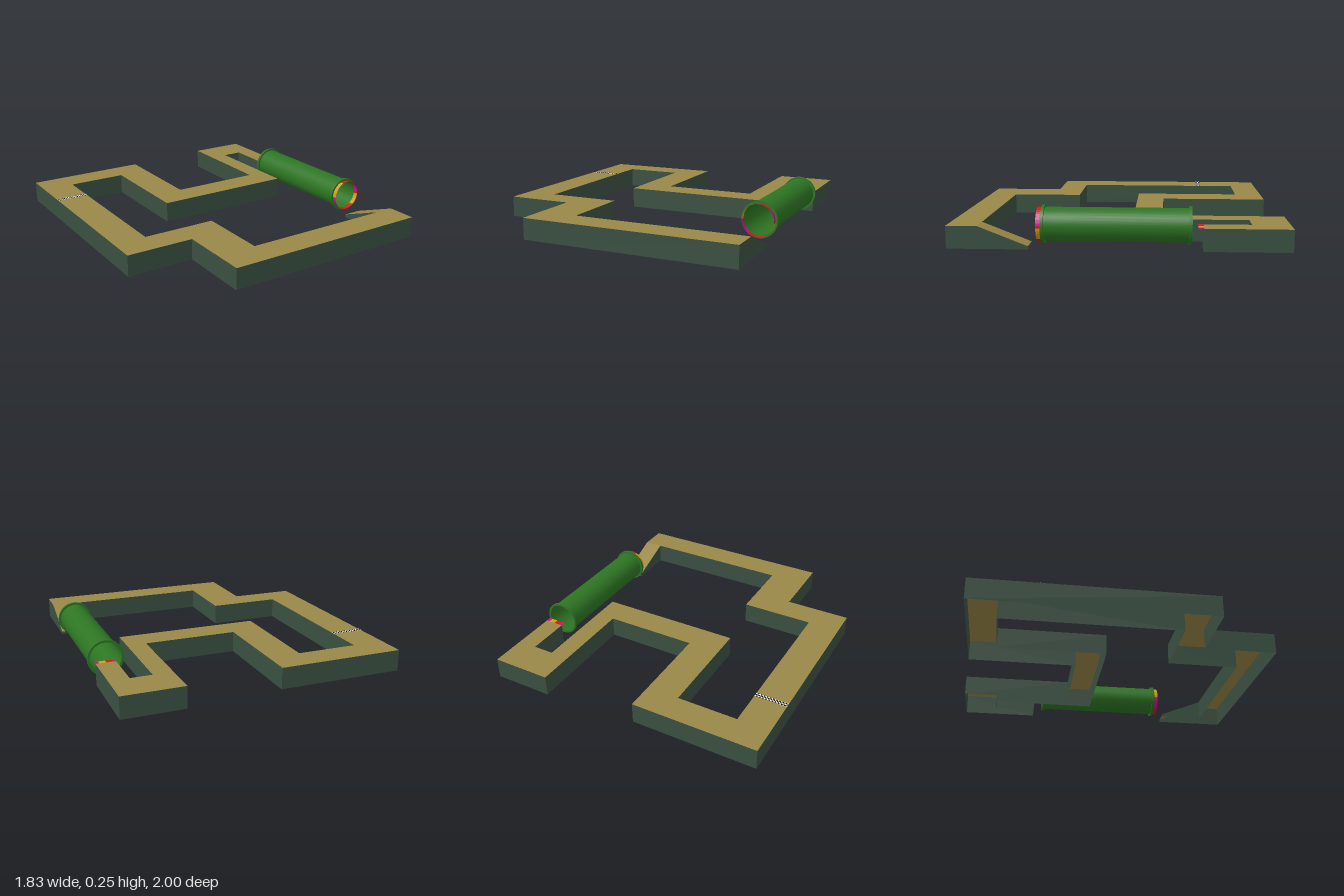
import * as THREE from 'three';

const mat = (name, color, side = THREE.DoubleSide) => {
  const m = new THREE.MeshStandardMaterial({ color, side });
  m.name = name;
  return m;
};

// Geometry from a list of four-cornered faces, flat shaded
function quads(list) {
  const pos = [];
  for (const [a, b, c, d] of list) pos.push(...a, ...b, ...c, ...a, ...c, ...d);
  const g = new THREE.BufferGeometry();
  g.setAttribute('position', new THREE.Float32BufferAttribute(pos, 3));
  g.computeVertexNormals();
  return g;
}

export function createModel() {
  const model = new THREE.Group();
  model.name = 'raceTrack';
  const tan = mat('roadTan', 0x9a8848);
  const wall = mat('wallGreen', 0x3a5042);
  const green = mat('tunnelGreen', 0x2d7523);
  const red = mat('red', 0xd81414);
  const orange = mat('orange', 0xd89a10);
  const magenta = mat('magenta', 0xd0108c);
  const white = mat('white', 0xe8e8e8);
  const black = mat('black', 0x181818);

  const add = (name, geometry, material, parent = model) => {
    const mesh = new THREE.Mesh(geometry, material);
    mesh.name = name;
    parent.add(mesh);
    return mesh;
  };

  const H = 0.135;
  // Road outline as x, z; the last edge is left open for the ramp
  const outline = [
    [0.88, 0.815], [0.88, 1], [-0.49, 1], [-0.49, 0.53], [-0.92, 0.53], [-0.92, -0.955],
    [-0.11, -0.955], [-0.11, -0.255], [0.495, -0.255], [0.495, -1], [0.88, -1], [0.88, -0.49],
    [0.755, -0.49], [0.755, -0.775], [0.62, -0.775], [0.62, -0.075], [-0.32, -0.075],
    [-0.32, -0.775], [-0.71, -0.775], [-0.71, 0.35], [-0.235, 0.35], [-0.235, 0.815], [0.755, 0.815],
  ];

  // Road surface
  const shape = new THREE.Shape(outline.map(([x, z]) => new THREE.Vector2(x, -z)));
  const road = new THREE.ShapeGeometry(shape);
  road.rotateX(-Math.PI / 2).translate(0, H, 0);
  add('roadSurface', road, tan);

  // Side walls, open underneath
  const sides = [];
  for (let i = 0; i < outline.length - 1; i++) {
    const [ax, az] = outline[i], [bx, bz] = outline[i + 1];
    sides.push([[bx, 0, bz], [ax, 0, az], [ax, H, az], [bx, H, bz]]);
  }
  add('roadWalls', quads(sides), wall);

  // Ramp sloping down towards the tunnel
  const x0 = 0.755, x1 = 0.88, z0 = 0.52, z1 = 0.815, low = 0.02;
  add('rampSurface', quads([[[x0, H, z1], [x1, H, z1], [x1, low, z0], [x0, low, z0]]]), tan);
  add('rampWalls', quads([
    [[x1, 0, z1], [x1, 0, z0], [x1, low, z0], [x1, H, z1]],
    [[x0, 0, z0], [x0, 0, z1], [x0, H, z1], [x0, low, z0]],
    [[x1, 0, z0], [x0, 0, z0], [x0, low, z0], [x1, low, z0]],
  ]), wall);

  // Tunnel tube with a flange at each end
  const tunnel = new THREE.Group();
  tunnel.name = 'tunnel';
  tunnel.position.set(0.8, 0.137, 0);
  model.add(tunnel);
  const R = 0.1, F = 0.113;
  const tube = new THREE.CylinderGeometry(R, R, 0.86, 32, 1, true);
  tube.rotateX(Math.PI / 2).translate(0, 0, 0.01);
  add('tunnelTube', tube, green, tunnel);
  for (const z of [-0.416, 0.436]) {
    const h = 0.009;
    const rim = new THREE.CylinderGeometry(F, F, h * 2, 32, 1, true).rotateX(Math.PI / 2);
    add('flangeRim', rim, green, tunnel).position.z = z;
    for (const s of [-1, 1]) {
      const face = new THREE.RingGeometry(R, F, 32);
      if (s < 0) face.rotateY(Math.PI);
      add('flangeFace', face, green, tunnel).position.z = z + s * h;
    }
  }

  // Coloured band at the tunnel mouth: start and end angle in degrees from +x
  const bands = [
    [-50, -5, orange], [-5, 2, red], [2, 45, magenta], [45, 110, red],
    [110, 180, orange], [180, 235, magenta], [235, 310, red],
  ];
  for (const [a, b, m] of bands) {
    const n = Math.max(1, Math.round((b - a) / 10));
    const list = [];
    const at = (i, z) => {
      const t = THREE.MathUtils.degToRad(a + (b - a) * i / n);
      return [R * Math.cos(t), R * Math.sin(t), z];
    };
    for (let i = 0; i < n; i++) list.push([at(i, 0.44), at(i + 1, 0.44), at(i + 1, 0.472), at(i, 0.472)].reverse());
    add('mouthBand', quads(list), m, tunnel);
  }

  // Flat plate on a level surface, seen from both sides
  const plate = (name, xa, xb, za, zb, y, m) =>
    add(name, quads([[[xa, y, zb], [xb, y, zb], [xb, y, za], [xa, y, za]]]), m);

  // Coloured strip where the road meets the tunnel
  const cuts = [0.755, 0.772, 0.815, 0.858, 0.88];
  [magenta, red, orange, magenta].forEach((m, i) =>
    plate('endStrip', cuts[i], cuts[i + 1], -0.495, -0.46, H + 0.002, m));

  // Chequered finish line
  const cols = 21, rows = 3, size = 0.01;
  const cells = [[], []];
  for (let c = 0; c < cols; c++) for (let r = 0; r < rows; r++) {
    const x = -0.92 + c * size, z = -0.54 + r * size, y = H + 0.002;
    cells[(c + r) % 2].push([[x, y, z + size], [x + size, y, z + size], [x + size, y, z], [x, y, z]]);
  }
  add('finishLineWhite', quads(cells[0]), white);
  add('finishLineBlack', quads(cells[1]), black);

  return model;
}
